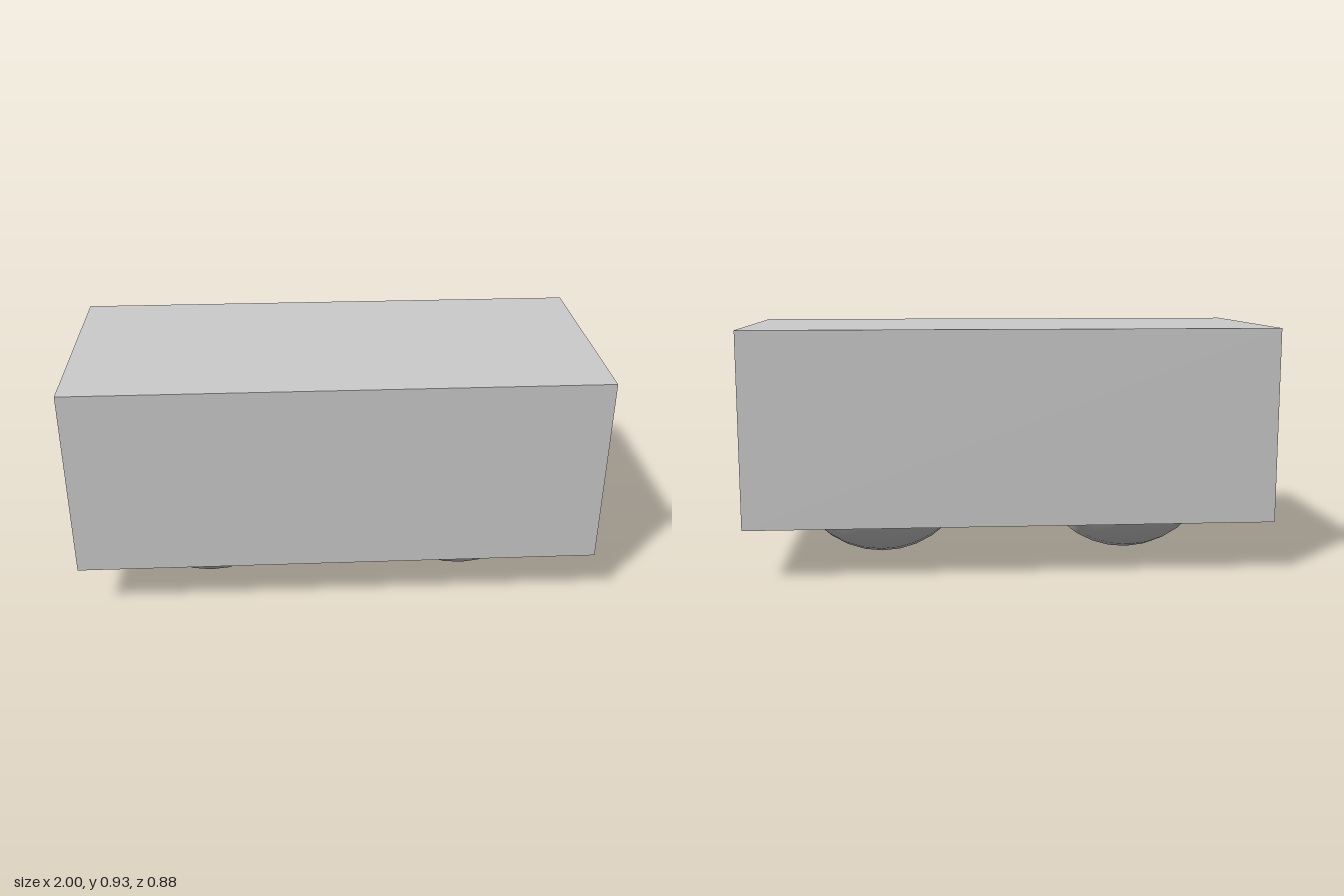
import * as THREE from 'three';

const RADIUS = 0.372;
const CUT = 0.258; // distance from ball centre to its flat inner face

export function createModel() {
  const group = new THREE.Group();
  const material = new THREE.MeshStandardMaterial({ color: 0xcccccc });

  // Solid block body
  const body = new THREE.Mesh(new THREE.BoxGeometry(2, 0.735, 0.88), material);
  body.name = 'body';
  body.position.y = 0.2 + 0.735 / 2;
  group.add(body);

  // Ball foot with a flat inner face, turned around its axis
  const profile = [new THREE.Vector2(0, -CUT)];
  const start = -Math.asin(CUT / RADIUS);
  const steps = 12;
  for (let i = 0; i <= steps; i++) {
    const a = start + (Math.PI / 2 - start) * (i / steps);
    profile.push(new THREE.Vector2(Math.max(0, RADIUS * Math.cos(a)), RADIUS * Math.sin(a)));
  }
  const footGeometry = new THREE.LatheGeometry(profile, 28);

  // Mirrored pair, flat faces toward the middle
  for (const side of [1, -1]) {
    const foot = new THREE.Mesh(footGeometry, material);
    foot.name = side > 0 ? 'leftFoot' : 'rightFoot';
    foot.rotation.z = -side * Math.PI / 2;
    foot.position.set(side * 0.5, RADIUS, 0.055);
    group.add(foot);
  }
  return group;
}
